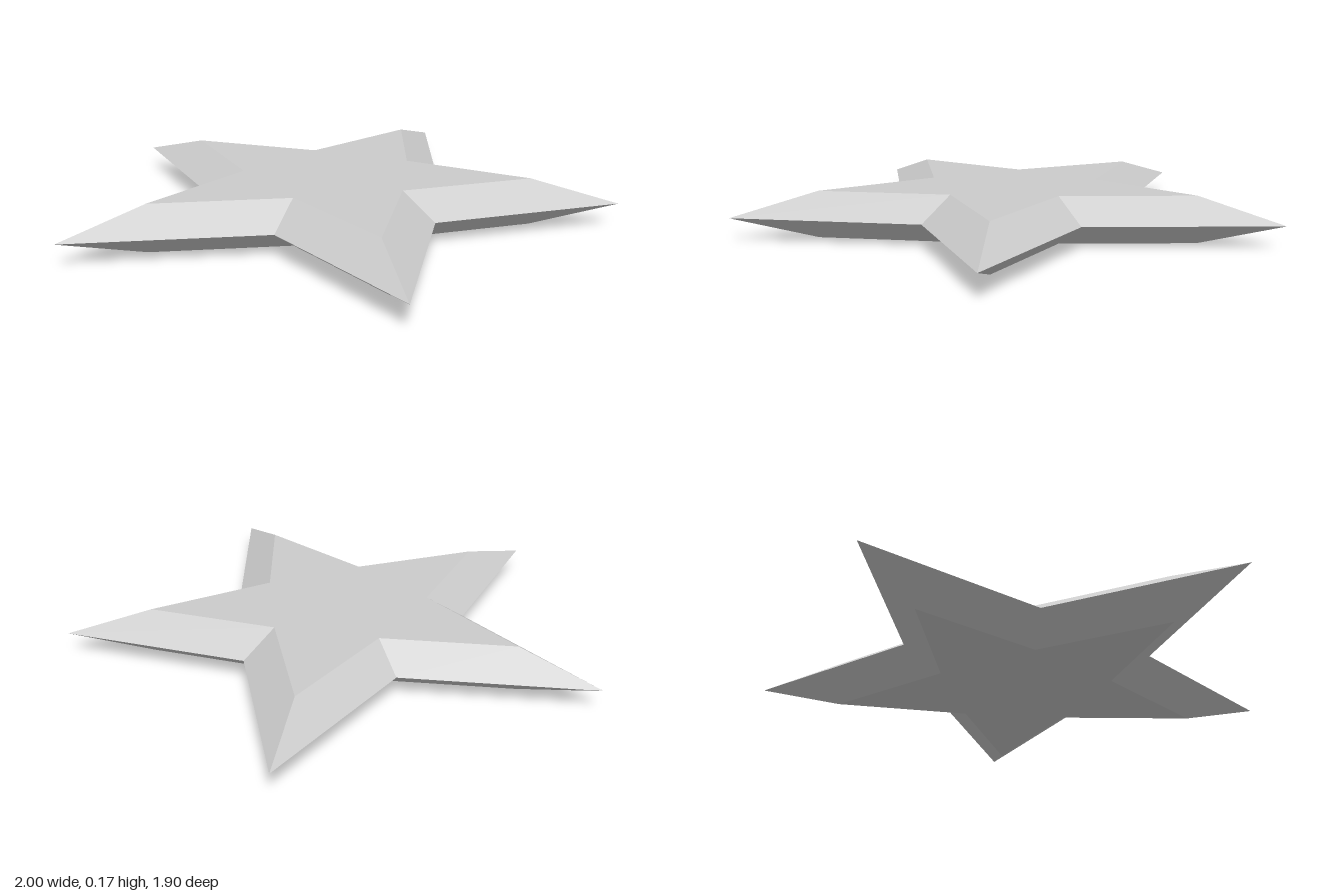
import * as THREE from 'three';

const TIP_RADIUS = 1.0515, NOTCH_RADIUS = 0.48;
const FACE_SCALE = 0.695; // flat faces relative to the widest outline
const HEIGHT = 0.175, CENTRE_Z = 0.1;

// Ten-corner star outline, starting at the rear tip
function starRing(scale, y) {
  return Array.from({ length: 10 }, (_, i) => {
    const r = scale * (i % 2 ? NOTCH_RADIUS : TIP_RADIUS);
    const a = (i * Math.PI) / 5;
    return new THREE.Vector3(r * Math.sin(a), y, CENTRE_Z - r * Math.cos(a));
  });
}

// One half: flat star face plus the bevel down to the rim
function halfStar(faceY, flip) {
  const rim = starRing(1, HEIGHT / 2);
  const face = starRing(FACE_SCALE, faceY);
  const centre = new THREE.Vector3(0, faceY, CENTRE_Z);
  const points = [];
  const tri = (a, b, c) => points.push(...(flip ? [a, c, b] : [a, b, c]));
  for (let i = 0; i < 10; i++) {
    const j = (i + 1) % 10;
    tri(centre, face[j], face[i]);
    tri(face[i], face[j], rim[j]);
    tri(face[i], rim[j], rim[i]);
  }
  const geometry = new THREE.BufferGeometry().setFromPoints(points);
  geometry.computeVertexNormals();
  return geometry;
}

export function createModel() {
  const group = new THREE.Group();
  group.name = 'star';
  const grey = new THREE.MeshStandardMaterial({ color: 0xcccccc, flatShading: true });
  grey.name = 'light grey';

  const upper = new THREE.Mesh(halfStar(HEIGHT, false), grey);
  upper.name = 'upperHalf';
  const lower = new THREE.Mesh(halfStar(0, true), grey);
  lower.name = 'lowerHalf';
  group.add(upper, lower);
  return group;
}
